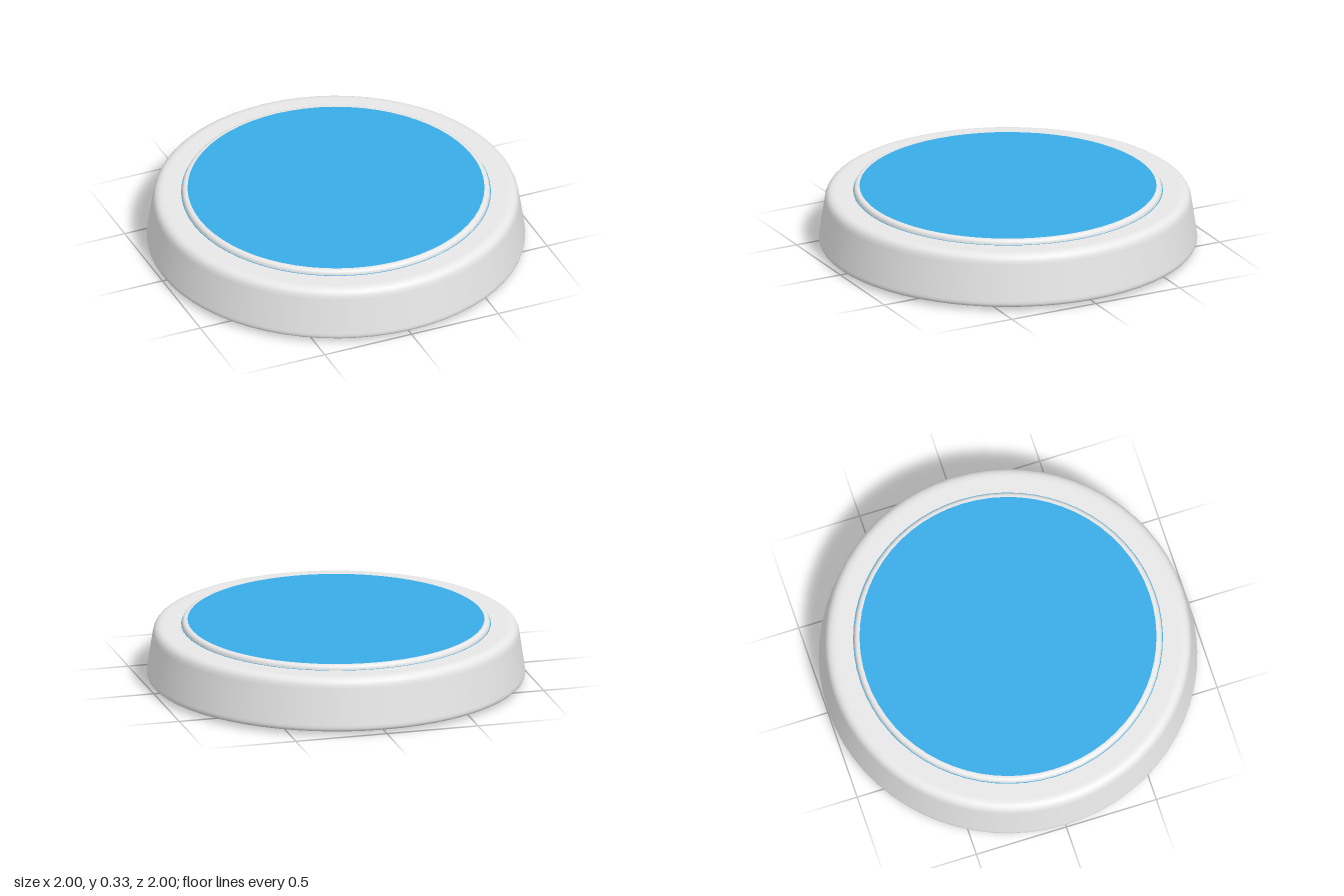
import * as THREE from 'three';

const SEGMENTS = 64;

// Rounds the inner corners of a profile; each corner is [radius, height, fillet size]
function roundedProfile(corners, steps = 8) {
  const pts = [];
  corners.forEach(([x, y, r], i) => {
    const p = new THREE.Vector2(x, y);
    if (!r) { pts.push(p); return; }
    const toPrev = new THREE.Vector2(...corners[i - 1].slice(0, 2)).sub(p).normalize();
    const toNext = new THREE.Vector2(...corners[i + 1].slice(0, 2)).sub(p).normalize();
    const a = p.clone().addScaledVector(toPrev, r);
    const b = p.clone().addScaledVector(toNext, r);
    // Extra points beside the fillet keep the flat faces evenly shaded
    pts.push(a.clone().addScaledVector(toPrev, 0.002));
    pts.push(...new THREE.QuadraticBezierCurve(a, p, b).getPoints(steps));
    pts.push(b.clone().addScaledVector(toNext, 0.002));
  });
  return pts;
}

export function createModel() {
  const group = new THREE.Group();
  const shell = new THREE.MeshStandardMaterial({ name: 'light grey shell', color: 0xe8e8e8 });
  const blue = new THREE.MeshStandardMaterial({ name: 'blue face', color: 0x38ace7 });
  const rubber = new THREE.MeshStandardMaterial({ name: 'dark rubber', color: 0x636061 });

  const add = (name, geometry, material, y = 0) => {
    const mesh = new THREE.Mesh(geometry, material);
    mesh.name = name;
    mesh.position.y = y;
    group.add(mesh);
  };
  const lathe = (corners) => new THREE.LatheGeometry(roundedProfile(corners), SEGMENTS);
  const disc = (r, h) => new THREE.CylinderGeometry(r, r, h, SEGMENTS);

  // Tapered housing with rounded rims
  add('body', lathe([[0, 0.017], [1.005, 0.017, 0.034], [0.962, 0.303, 0.05], [0, 0.303]]), shell);

  // Non-slip pad underneath
  add('basePad', disc(0.905, 0.018), rubber, 0.009);

  // Hairline blue seam where the button meets the housing
  add('seam', disc(0.819, 0.002), blue, 0.303);

  // Raised button rim with a softened edge
  add('buttonRim', lathe([[0.816, 0.3], [0.812, 0.329, 0.022], [0.785, 0.329]]), shell);

  // Blue face set flush into the rim
  add('buttonFace', disc(0.785, 0.008), blue, 0.325);

  return group;
}
